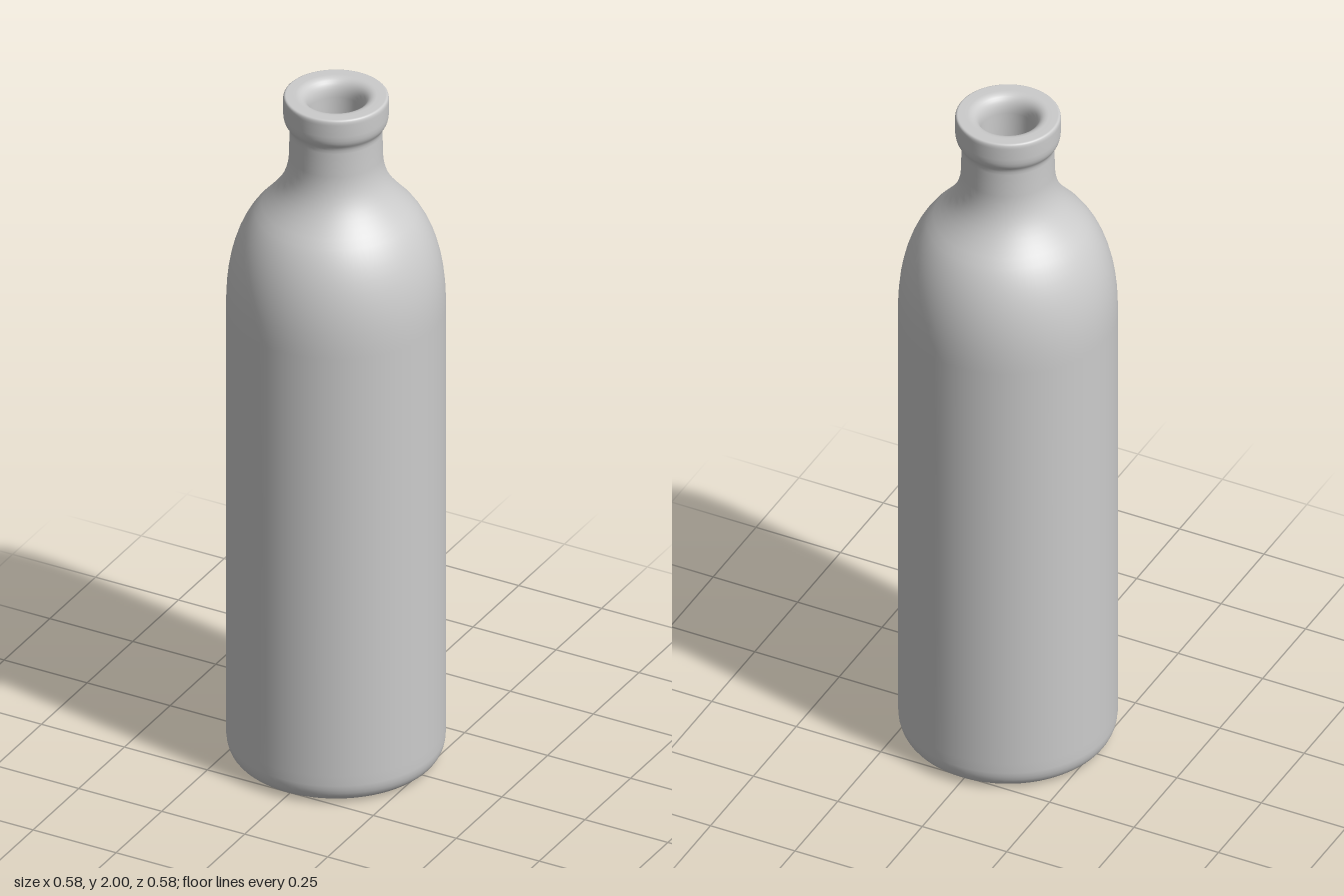
import * as THREE from 'three';

// Wall profile: base, outside, lip, then down the inside to the floor
function bottleWall() {
  const p = new THREE.Path();
  p.moveTo(0, 0);
  p.lineTo(0.225, 0);
  p.lineTo(0.235, 0);
  p.bezierCurveTo(0.27, 0.002, 0.288, 0.022, 0.29, 0.06);
  p.lineTo(0.29, 0.09);
  p.lineTo(0.29, 1.36);
  p.lineTo(0.29, 1.39);
  p.bezierCurveTo(0.288, 1.5, 0.262, 1.59, 0.215, 1.65);
  p.bezierCurveTo(0.165, 1.705, 0.128, 1.74, 0.124, 1.82);
  p.lineTo(0.123, 1.89);
  p.bezierCurveTo(0.123, 1.92, 0.139, 1.91, 0.14, 1.95);
  p.lineTo(0.14, 1.985);
  p.bezierCurveTo(0.14, 1.995, 0.138, 2, 0.132, 2);
  p.lineTo(0.108, 2);
  p.bezierCurveTo(0.088, 2, 0.073, 1.985, 0.073, 1.95);
  p.lineTo(0.073, 1.82);
  p.bezierCurveTo(0.075, 1.72, 0.12, 1.67, 0.17, 1.62);
  p.bezierCurveTo(0.215, 1.57, 0.238, 1.5, 0.24, 1.38);
  p.lineTo(0.24, 0.1);
  p.bezierCurveTo(0.24, 0.07, 0.22, 0.05, 0.19, 0.05);
  p.lineTo(0, 0.05);
  return new THREE.LatheGeometry(p.getPoints(8), 72);
}

// Shard centres on the wall: [degrees round from the front, height]
const CENTRES = [
  [-50, 1.38], [50, 1.4], [10, 1.02], [-70, 0.82], [-10, 0.55], [85, 1.13],
  [78, 0.95], [88, 0.84], [45, 0.77], [84, 0.71], [72, 0.4], [121, 0.88],
  [122, 0.65], [152, 1.2], [-20, 0.18], [72, 0.05], [165, 0.2], [235, 1.15],
  [190, 0.82], [225, 0.48], [256, 0.07],
];

// Keep the part of a polygon nearer to centre a than to centre b
function clip(poly, a, b) {
  const n = b.clone().sub(a);
  const w = n.dot(a.clone().add(b).multiplyScalar(0.5));
  const out = [];
  poly.forEach((v, i) => {
    const next = poly[(i + 1) % poly.length];
    const d0 = n.dot(v.pos) - w;
    const d1 = n.dot(next.pos) - w;
    if (d0 <= 0) out.push(v);
    if ((d0 < 0 && d1 > 0) || (d0 > 0 && d1 < 0)) {
      const t = d0 / (d0 - d1);
      out.push({
        pos: v.pos.clone().lerp(next.pos, t),
        nor: v.nor.clone().lerp(next.nor, t).normalize(),
      });
    }
  });
  return out;
}

function trianglesOf(geometry) {
  const { position, normal } = geometry.attributes;
  const index = geometry.index.array;
  const tris = [];
  for (let i = 0; i < index.length; i += 3) {
    const tri = [0, 1, 2].map((k) => ({
      pos: new THREE.Vector3().fromBufferAttribute(position, index[i + k]),
      nor: new THREE.Vector3().fromBufferAttribute(normal, index[i + k]),
    }));
    const area = new THREE.Triangle(tri[0].pos, tri[1].pos, tri[2].pos).getArea();
    if (area > 1e-9) tris.push(tri);
  }
  return tris;
}

export function createModel() {
  const bottle = new THREE.Group();
  bottle.name = 'crackedBottle';
  const material = new THREE.MeshStandardMaterial({ color: 0xcccccc });

  const centres = CENTRES.map(([deg, y]) => {
    const a = THREE.MathUtils.degToRad(deg);
    return new THREE.Vector3(0.27 * Math.sin(a), y, 0.27 * Math.cos(a));
  });
  // The neck and lip stay whole, with the back of the shoulder
  centres.push(new THREE.Vector3(-0.05, 1.64, -0.18));

  // Split the wall into tightly fitting shards along flat cracks
  const tris = trianglesOf(bottleWall());
  centres.forEach((centre, ci) => {
    const pos = [];
    const nor = [];
    for (const tri of tris) {
      let poly = tri;
      for (let j = 0; j < centres.length && poly.length > 2; j++) {
        if (j !== ci) poly = clip(poly, centre, centres[j]);
      }
      for (let k = 1; k + 1 < poly.length; k++) {
        for (const v of [poly[0], poly[k], poly[k + 1]]) {
          pos.push(v.pos.x, v.pos.y, v.pos.z);
          nor.push(v.nor.x, v.nor.y, v.nor.z);
        }
      }
    }
    if (!pos.length) return;
    const geometry = new THREE.BufferGeometry();
    geometry.setAttribute('position', new THREE.Float32BufferAttribute(pos, 3));
    geometry.setAttribute('normal', new THREE.Float32BufferAttribute(nor, 3));
    const shard = new THREE.Mesh(geometry, material);
    shard.name = ci === centres.length - 1 ? 'neckAndLip' : `wallShard${ci + 1}`;
    bottle.add(shard);
  });
  return bottle;
}
